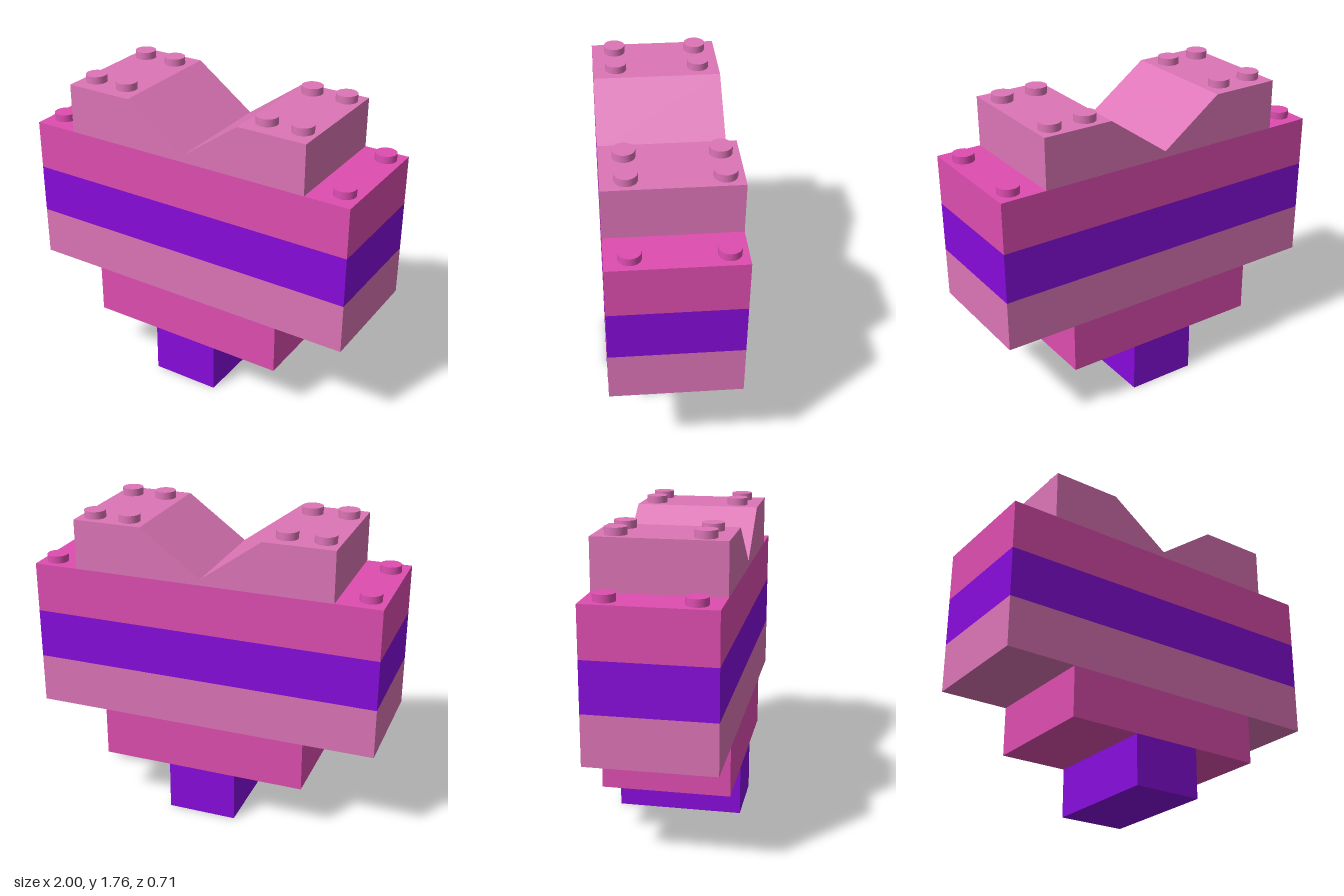
import * as THREE from 'three';

const LIGHT = 0xdc74b6, HOT = 0xdd4db0, PURPLE = 0x870bdb;
const LAYER = 0.2857, DEPTH = 0.715;

export function createModel() {
  const model = new THREE.Group();
  const materials = {};
  const add = (name, geometry, color, x, y, z) => {
    materials[color] ??= new THREE.MeshStandardMaterial({ color });
    const mesh = new THREE.Mesh(geometry, materials[color]);
    mesh.name = name;
    mesh.position.set(x, y, z);
    model.add(mesh);
  };

  // Stacked brick layers, bottom to top: name, width, colour
  [
    ['footBrick', 0.4, PURPLE],
    ['lowerBrick', 1.2, HOT],
    ['wideLightLayer', 2, LIGHT],
    ['widePurpleLayer', 2, PURPLE],
    ['wideHotLayer', 2, HOT],
  ].forEach(([name, width, color], i) =>
    add(name, new THREE.BoxGeometry(width, LAYER, DEPTH), color, 0, (i + 0.5) * LAYER, 0));

  // Sloped bricks that form the two lobes, meeting in a notch
  const base = 5 * LAYER;
  const stud = new THREE.CylinderGeometry(0.06, 0.06, 0.042, 32);
  for (const [label, side] of [['left', 1], ['right', -1]]) {
    const points = [[0, 0], [0.742, 0], [0.742, LAYER], [0.345, LAYER], [0, 0.035]];
    if (side < 0) points.reverse();
    const profile = new THREE.Shape(points.map(([x, y]) => new THREE.Vector2(side * x, y)));
    const lobe = new THREE.ExtrudeGeometry(profile, { depth: DEPTH, bevelEnabled: false });
    add(label + 'SlopeBrick', lobe, LIGHT, 0, base, -DEPTH / 2);

    // Studs on the lobes and on the exposed ends of the layer below
    for (const z of [0.228, side > 0 ? -0.263 : -0.24]) {
      for (const x of [0.447, 0.655]) add(label + 'LobeStud', stud, LIGHT, side * x, base + LAYER + 0.021, z);
      add(label + 'EndStud', stud, HOT, side * 0.907, base + 0.021, z);
    }
  }
  return model;
}
